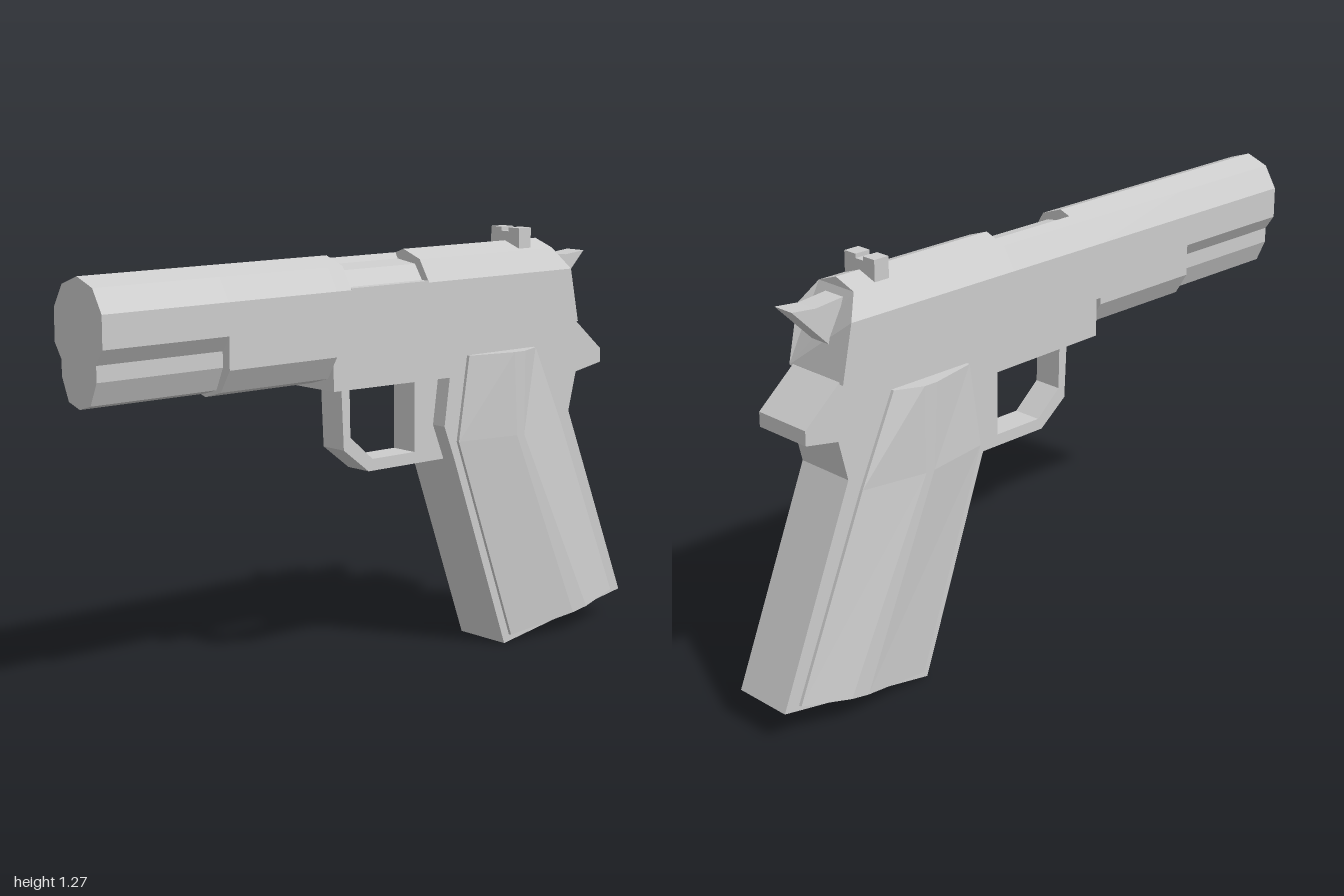
import * as THREE from 'three';

const material = new THREE.MeshStandardMaterial({ color: 0xcccccc, flatShading: true });

function shapeOf(points) {
  return new THREE.Shape(points.map(([a, b]) => new THREE.Vector2(a, b)));
}

// Cross-section in (x, y), extruded along z from z0 to z1
function alongZ(points, z0, z1) {
  const g = new THREE.ExtrudeGeometry(shapeOf(points), { depth: z1 - z0, bevelEnabled: false });
  return g.translate(0, 0, z0);
}

// Side profile in (z, y), extruded across x and centred; a hole runs against its outline
function acrossX(points, width, hole) {
  const shape = shapeOf(points);
  if (hole) shape.holes.push(shapeOf(hole));
  const g = new THREE.ExtrudeGeometry(shape, { depth: width, bevelEnabled: false });
  return g.translate(0, 0, -width / 2).rotateY(-Math.PI / 2);
}

// Closed skin through equal-length loops of [x, y, z], listed upwards, with capped ends
function loft(loops) {
  const n = loops[0].length;
  const index = [];
  for (let r = 0; r < loops.length - 1; r++) {
    for (let i = 0; i < n; i++) {
      const a = r * n + i, b = r * n + (i + 1) % n;
      index.push(a, b, b + n, a, b + n, a + n);
    }
  }
  const last = (loops.length - 1) * n;
  for (let i = 1; i < n - 1; i++) {
    index.push(0, i + 1, i, last, last + i, last + i + 1);
  }
  const g = new THREE.BufferGeometry();
  g.setAttribute('position', new THREE.Float32BufferAttribute(loops.flat(2), 3));
  g.setIndex(index);
  const flat = g.toNonIndexed();
  flat.computeVertexNormals();
  return flat;
}

// Mirror the right half of a section (listed bottom to top) onto the left
function symmetric(half) {
  const left = half.filter(([x]) => x > 0).map(([x, y]) => [-x, y]).reverse();
  return [...half, ...left];
}

export function createModel() {
  const group = new THREE.Group();
  const add = (name, geometry) => {
    const mesh = new THREE.Mesh(geometry, material);
    mesh.name = name;
    group.add(mesh);
  };

  // Slide, in stretches with different sections
  const crown = [[0.11, 1.145], [0.07, 1.21], [0, 1.235]];
  const upper = symmetric([[0.11, 0.98], ...crown]);
  add('slideMuzzle', alongZ(symmetric([
    [0, 0.885], [0.05, 0.9], [0.08, 0.965], [0.08, 1.01], [0.11, 1.053], ...crown,
  ]), 0.59, 1));
  add('slideFront', alongZ(symmetric([
    [0, 0.875], [0.07, 0.895], [0.11, 0.96], ...crown,
  ]), 0.21, 0.59));
  add('slideCollar', alongZ(upper, 0.155, 0.21));
  add('ejectionPort', alongZ([
    [-0.11, 0.98], [0.11, 0.98], [0.11, 1.15], [0.08, 1.15], [0.05, 1.195],
    [-0.025, 1.205], [-0.035, 1.2225], [-0.07, 1.21], [-0.11, 1.145],
  ], -0.14, 0.155));

  // Rear of the slide, its back face leaning with height
  const rear = alongZ(upper, -0.77, -0.14);
  const p = rear.attributes.position;
  for (let i = 0; i < p.count; i++) {
    if (p.getZ(i) > -0.5) continue;
    const y = p.getY(i);
    p.setZ(i, y > 1.2 ? -0.69 : y > 1.1 ? -0.735 : -0.77);
  }
  rear.computeVertexNormals();
  add('slideRear', rear);

  // Frame with grip core and tail
  add('frame', acrossX([
    [0.21, 0.985], [0.21, 0.86], [-0.24, 0.855], [-0.22, 0.71], [-0.26, 0.61], [-0.48, 0],
    [-1, 0.087], [-0.75, 0.7], [-0.78, 0.82], [-0.89, 0.84], [-0.89, 0.883], [-0.77, 0.985],
  ], 0.19));

  // Trigger guard, its back end forming the trigger block
  add('triggerGuard', acrossX([
    [0.14, 0.88], [0.13, 0.675], [0.035, 0.602], [-0.3, 0.602], [-0.3, 0.88],
  ], 0.09, [
    [-0.145, 0.857], [-0.145, 0.637], [0.02, 0.637], [0.105, 0.71], [0.108, 0.857],
  ]));

  // Grip panels: rows of [z, y], front edge, two ridges, back edge
  const rows = [
    [[-0.5, 0.025], [-0.74, 0.062], [-0.8, 0.072], [-0.95, 0.095]],
    [[-0.27, 0.66], [-0.48, 0.66], [-0.51, 0.66], [-0.71, 0.66]],
    [[-0.31, 0.915], [-0.465, 0.915], [-0.51, 0.915], [-0.59, 0.915]],
  ];
  const depth = [0.105, 0.14, 0.14, 0.105];
  for (const side of [1, -1]) {
    const loops = rows.map((row) => {
      const outer = row.map(([z, y], i) => [side * depth[i], y, z]);
      const front = [side * 0.085, row[0][1], row[0][0]];
      const back = [side * 0.085, row[3][1], row[3][0]];
      const loop = [front, ...outer, back];
      return side > 0 ? loop : loop.reverse();
    });
    add(side > 0 ? 'leftGripPanel' : 'rightGripPanel', loft(loops));
  }

  // Notched rear sight
  add('rearSight', alongZ([
    [-0.06, 1.2], [0.06, 1.2], [0.06, 1.275], [0.015, 1.275], [0.015, 1.263],
    [-0.015, 1.263], [-0.015, 1.275], [-0.06, 1.275],
  ], -0.608, -0.558));

  // Hammer
  add('hammer', acrossX([
    [-0.69, 1.19], [-0.79, 1.18], [-0.87, 1.188], [-0.75, 1.07], [-0.7, 1.07],
  ], 0.07));

  return group;
}
